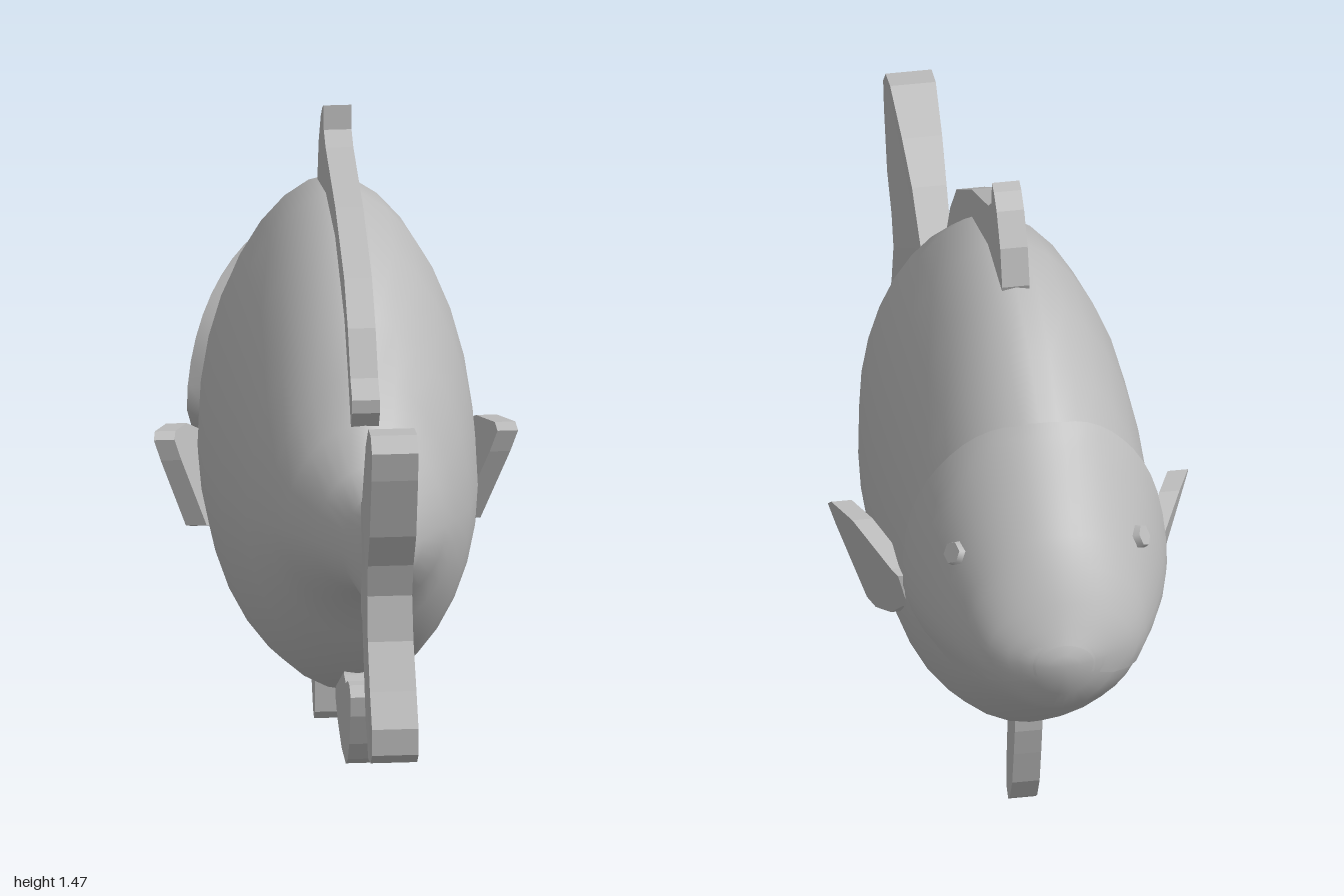
import * as THREE from 'three';
import { mergeVertices } from 'three/addons/utils/BufferGeometryUtils.js';

const grey = new THREE.MeshStandardMaterial({ color: 0xbbbbbb, side: THREE.DoubleSide });
grey.name = 'grey';

// Body stations from nose to tail: z, top, bottom, half width
const MID = 0.655;
const stations = [
  [-1.0, 0.655, 0.655, 0], [-0.998, 0.68, 0.62, 0.035], [-0.985, 0.71, 0.575, 0.08],
  [-0.96, 0.755, 0.53, 0.125], [-0.93, 0.81, 0.505, 0.165], [-0.88, 0.88, 0.465, 0.195],
  [-0.79, 0.975, 0.40, 0.225], [-0.69, 1.085, 0.335, 0.252], [-0.55, 1.195, 0.25, 0.28],
  [-0.4, 1.27, 0.182, 0.297], [-0.2, 1.29, 0.155, 0.303], [0, 1.245, 0.19, 0.288],
  [0.2, 1.11, 0.285, 0.25], [0.28, 1.0, 0.39, 0.21], [0.34, 0.9, 0.465, 0.18],
  [0.44, 0.825, 0.53, 0.12], [0.53, 0.785, 0.56, 0.07], [0.62, 0.792, 0.53, 0.035],
  [0.66, 0.80, 0.53, 0.025],
];

// Back edge of the head plate: angle from the top in degrees, z
const headEdge = [[0, -0.69], [12, -0.688], [28, -0.665], [45, -0.64], [62, -0.61], [72, -0.6],
  [89, -0.62], [96, -0.66], [105, -0.72], [113, -0.77]];

// Linear lookup in a table whose first column rises
function lookup(table, t) {
  let i = 1;
  while (i < table.length - 1 && table[i][0] < t) i++;
  const a = table[i - 1], b = table[i];
  const k = THREE.MathUtils.clamp((t - a[0]) / (b[0] - a[0]), 0, 1);
  return a.map((v, n) => v + (b[n] - v) * k);
}

// Point on the skin at z and angle from the top, pushed out by off
function skin(z, angle, off = 0) {
  const [, top, bottom, width] = lookup(stations, z);
  const s = Math.sin(angle), c = Math.cos(angle);
  const x = width * Math.sign(s) * Math.abs(s) ** 1.1;
  const y = MID + c * (c > 0 ? top - MID : MID - bottom);
  return [x + off * s, y + off * c, z];
}

// Smooth surface from a grid of points
function grid(rows, cols, point) {
  const pos = [], index = [];
  for (let i = 0; i <= rows; i++) {
    for (let j = 0; j <= cols; j++) pos.push(...point(i, j));
  }
  for (let i = 0; i < rows; i++) {
    for (let j = 0; j < cols; j++) {
      const a = i * (cols + 1) + j, b = a + cols + 1;
      index.push(a, b, a + 1, b, b + 1, a + 1);
    }
  }
  let g = new THREE.BufferGeometry();
  g.setAttribute('position', new THREE.Float32BufferAttribute(pos, 3));
  g.setIndex(index);
  g = mergeVertices(g, 1e-5);
  g.computeVertexNormals();
  return g;
}

// Flat fin from a (z, y) outline; rule may give a new x for (x, y, z)
function finGeometry(outline, thickness, rule) {
  const shape = new THREE.Shape(outline.map(([z, y]) => new THREE.Vector2(z, y)));
  const g = new THREE.ExtrudeGeometry(shape, { depth: thickness, bevelEnabled: false });
  g.translate(0, 0, -thickness / 2);
  g.rotateY(-Math.PI / 2);
  if (rule) {
    const p = g.attributes.position;
    for (let i = 0; i < p.count; i++) p.setX(i, rule(p.getX(i), p.getY(i), p.getZ(i)));
    g.computeVertexNormals();
  }
  return g;
}

export function createModel() {
  const model = new THREE.Group();
  model.name = 'fish';
  const add = (name, geometry) => {
    const mesh = new THREE.Mesh(geometry, grey);
    mesh.name = name;
    model.add(mesh);
    return mesh;
  };

  // Body
  add('body', grid(stations.length - 1, 32,
    (i, j) => skin(stations[i][0], (j % 32) / 32 * Math.PI * 2)));

  // Head plate, standing proud of the body at its back edge
  const cols = 36, rows = 14, limit = 113;
  const headPoint = (s, j, sunk = 0) => {
    const deg = (j / cols * 2 - 1) * limit;
    const end = lookup(headEdge, Math.abs(deg))[1];
    const fade = 1 - THREE.MathUtils.smoothstep(Math.abs(deg), 85, limit);
    const side = 0.5 + 0.5 * Math.abs(Math.sin(deg * Math.PI / 180));
    const off = 0.003 + 0.03 * fade * side * THREE.MathUtils.smoothstep(s, 0, 1);
    return skin(-0.99 + (end + 0.99) * s, deg * Math.PI / 180, sunk ? -sunk : off);
  };
  add('headPlate', grid(rows, cols, (i, j) => headPoint(i / rows, j)));
  add('headPlateRim', grid(1, cols, (i, j) => headPoint(1, j, i * 0.015)));

  // Tail fin, thicker towards its end
  add('tailFin', finGeometry([
    [0.6, 0.79], [0.62, 0.795], [0.71, 0.9], [0.8, 0.975], [0.915, 1.045], [0.97, 1.045],
    [1, 1.01], [0.99, 0.945], [0.95, 0.805], [0.9, 0.725], [0.88, 0.65], [0.9, 0.55],
    [0.955, 0.45], [1, 0.375], [1, 0.315], [0.97, 0.29], [0.915, 0.285], [0.795, 0.34],
    [0.7, 0.42], [0.63, 0.525], [0.6, 0.535],
  ], 0.1, (x, y, z) => x * (0.7 + 0.34 * THREE.MathUtils.smoothstep(z, 0.6, 0.95))));

  // Dorsal fin
  add('dorsalFin', finGeometry([
    [0.345, 0.893], [0.37, 0.93], [0.37, 0.96], [0.33, 1.0], [0.275, 1.1], [0.195, 1.195],
    [0.005, 1.305], [-0.205, 1.385], [-0.245, 1.415], [-0.25, 1.47], [-0.275, 1.46],
    [-0.31, 1.43], [-0.355, 1.36], [-0.38, 1.275], [-0.36, 1.2], [0, 1.15], [0.2, 0.98],
    [0.3, 0.88],
  ], 0.062));

  // Anal fin
  add('analFin', finGeometry([
    [0.195, 0.28], [0.23, 0.27], [0.275, 0.287], [0.31, 0.287], [0.335, 0.265], [0.33, 0.22],
    [0.305, 0.15], [0.275, 0.107], [0.23, 0.085], [0.14, 0.097], [0.06, 0.135],
    [0.005, 0.18], [0.02, 0.25], [0.16, 0.34],
  ], 0.062));

  // Pelvic fin
  add('pelvicFin', finGeometry([
    [-0.54, 0.29], [-0.538, 0.22], [-0.525, 0.155], [-0.505, 0.07], [-0.475, 0.015],
    [-0.455, 0], [-0.435, 0.02], [-0.435, 0.1], [-0.45, 0.22], [-0.45, 0.29],
  ], 0.062));

  const pectoral = [
    [-0.28, 0.7], [-0.3, 0.715], [-0.38, 0.71], [-0.505, 0.65], [-0.53, 0.645], [-0.535, 0.565],
    [-0.51, 0.555], [-0.44, 0.5], [-0.37, 0.475], [-0.34, 0.485], [-0.29, 0.65],
  ];
  for (const [side, s] of [['left', 1], ['right', -1]]) {
    // Pectoral fins, leaning outwards to the back and top
    add(side + 'PectoralFin', finGeometry(pectoral, 0.046,
      (x, y, z) => x + s * (0.372 + 0.4 * (z + 0.31) + 0.25 * (y - 0.7))));

    // Eyes, short six-sided studs on the head
    const eye = add(side + 'Eye', new THREE.CylinderGeometry(0.025, 0.036, 0.04, 6));
    const normal = new THREE.Vector3(s * 0.8, 0.4, -0.45).normalize();
    eye.position.set(...skin(-0.775, s * 1.02, 0.012));
    eye.quaternion.setFromUnitVectors(new THREE.Vector3(0, 1, 0), normal);
  }
  return model;
}
